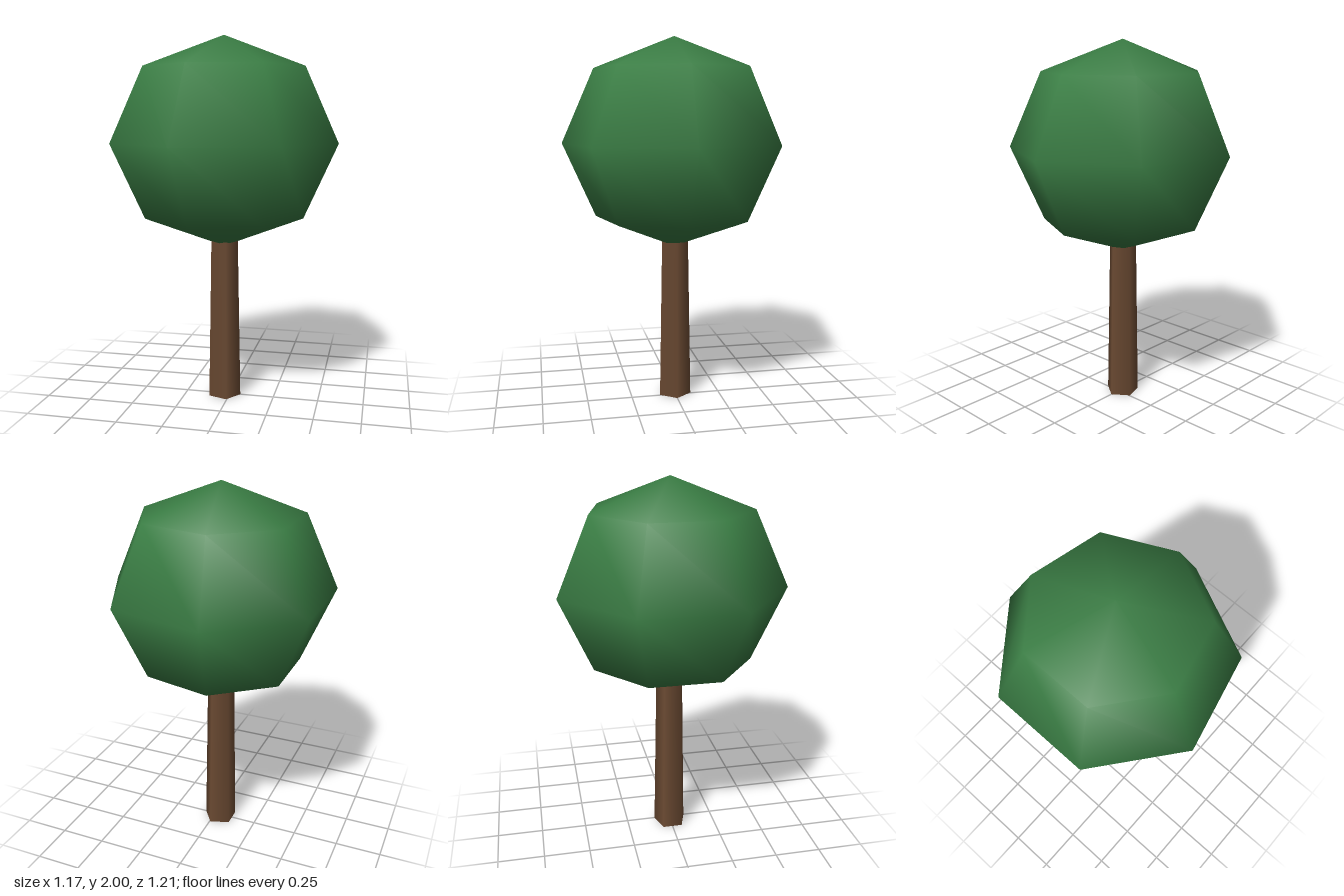
import * as THREE from 'three';

export function createModel() {
  const tree = new THREE.Group();
  tree.name = 'tree';

  const leafGreen = new THREE.MeshStandardMaterial({ color: 0x3a7d44 });
  leafGreen.name = 'leafGreen';
  const barkBrown = new THREE.MeshStandardMaterial({ color: 0x6b4a32 });
  barkBrown.name = 'barkBrown';

  // Both parts share an axis and point one corner towards +x
  const axisX = -0.033;

  // Five-sided tapering trunk, its top hidden inside the crown
  const trunkHeight = 0.95;
  const trunk = new THREE.Mesh(
    new THREE.CylinderGeometry(0.076, 0.093, trunkHeight, 5, 1, false, Math.PI / 2),
    barkBrown
  );
  trunk.name = 'trunk';
  trunk.position.set(axisX, trunkHeight / 2, 0);
  tree.add(trunk);

  // Slightly flattened low-poly crown with smooth shading
  const radius = 0.618, halfHeight = 0.57;
  const crown = new THREE.Mesh(
    new THREE.SphereGeometry(radius, 7, 4, Math.PI),
    leafGreen
  );
  crown.name = 'crown';
  crown.scale.y = halfHeight / radius;
  crown.position.set(axisX, 2 - halfHeight, 0);
  tree.add(crown);

  return tree;
}
